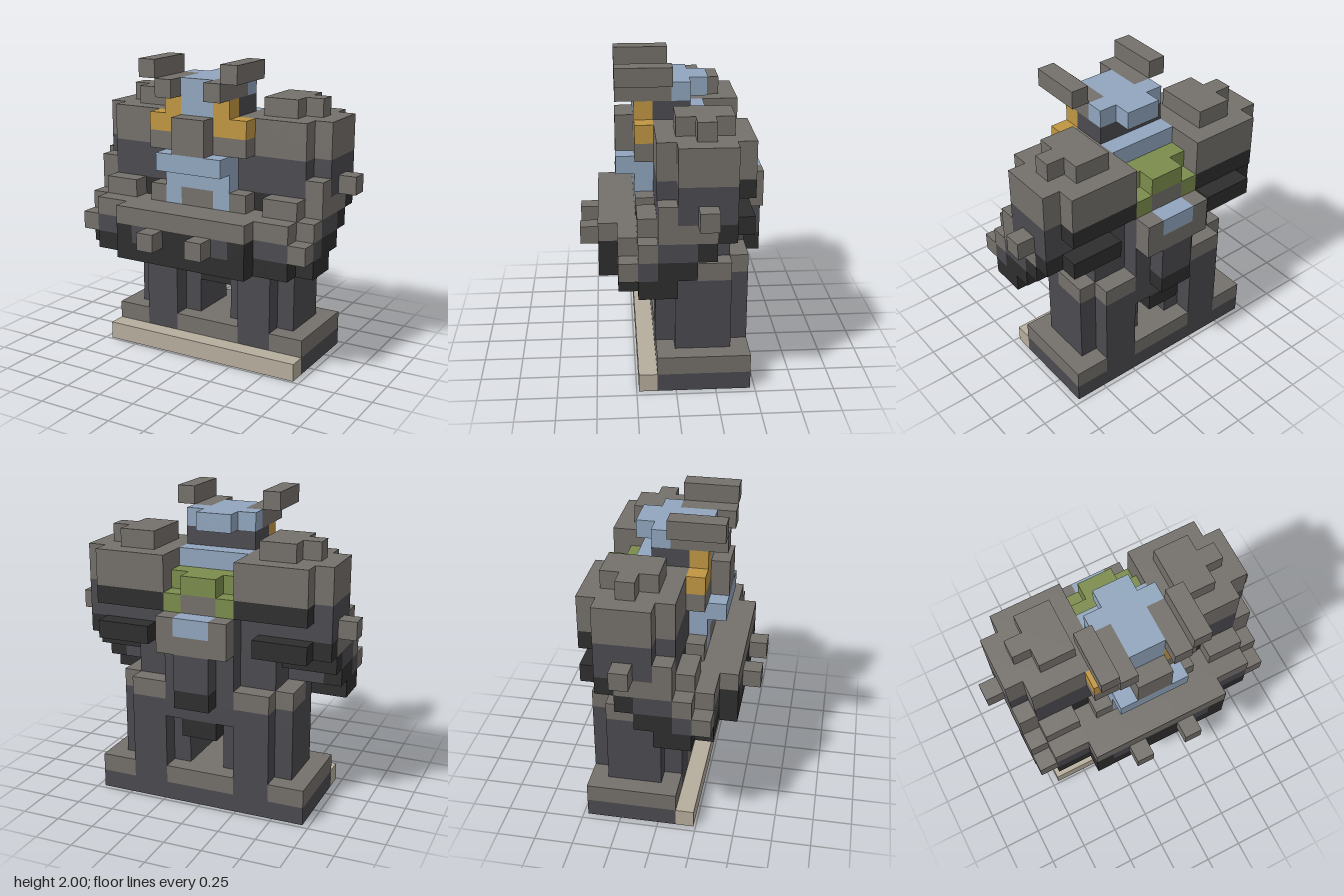
import * as THREE from 'three';

const U = 2 / 17; // edge of one block

const material = (name, color) => {
  const m = new THREE.MeshStandardMaterial({ color });
  m.name = name;
  return m;
};
const grey = material('stone grey', 0x74706b);
const dark = material('dark slate', 0x4b4a4f);
const black = material('charcoal', 0x2e2e2f);
const blue = material('pale blue', 0x91a6be);
const gold = material('gold', 0xc09642);
const green = material('moss green', 0x7c8c4d);
const cream = material('cream', 0xb6ad9c);

// Each part: blocks [material, x0, x1, y0, y1, z0, z1], mirrored in x; later blocks overwrite earlier ones
const parts = {
  body: [
    [dark, 0, 4, 7, 11, -3, 1],
    [dark, 0, 2, 6, 12, -4, 1],
    [dark, 0, 2, 11, 15, -1, 1],
    [blue, 0, 2, 12, 14, -2, -1],
  ],
  base: [
    [dark, 0, 6, 0, 1, -4, 1],
    [grey, 0, 6, 1, 2, -4, 1],
    [cream, 0, 6, 0, 1, 1, 2],
  ],
  legs: [
    [dark, 1, 5, 2, 7, -3, 0],
    [dark, 2, 4, 1, 7, -4, 1],
    [grey, 1, 5, 6, 7, -3, -1],
    [grey, 2, 4, 6, 7, -4, -1],
  ],
  crotch: [
    [black, 0, 1, 4, 5, -4, 0],
    [dark, 0, 2, 5, 6, -4, 0],
    [black, 1, 2, 5, 6, 0, 1],
  ],
  skirt: [
    [black, 0, 4, 6, 7, 0, 4],
    [black, 0, 6, 6, 7, 0, 3],
    [black, 6, 7, 6, 7, 0, 2],
    [dark, 0, 6, 7, 8, -1, 3],
    [dark, 0, 3, 7, 8, 3, 4],
    [black, 0, 1, 7, 8, 3, 4],
    [black, 3, 4, 7, 8, 3, 4],
    [black, 6, 7, 7, 8, -1, 1],
    [dark, 6, 7, 7, 8, 1, 2],
    [grey, 0, 6, 8, 9, 1, 3],
    [dark, 0, 6, 8, 9, -1, 1],
    [black, 4, 6, 8, 9, -2, -1],
    [grey, 0, 4, 8, 9, 3, 4],
    [grey, 6, 7, 8, 9, 1, 2],
    [dark, 6, 7, 8, 9, -1, 1],
    [black, 6, 7, 8, 9, -2, -1],
  ],
  studs: [
    [grey, 1, 2, 7, 8, 4, 5],
    [grey, 6, 7, 7, 8, 2, 3],
    [grey, 4, 6, 9, 10, 1, 2],
    [grey, 2, 3, 9, 10, 1, 2],
    [grey, 7, 8, 10, 11, -2, -1],
  ],
  arms: [
    [dark, 2, 6, 9, 10, -2, 1],
    [black, 3, 4, 9, 10, 0, 1],
    [black, 3, 6, 9, 10, -4, -2],
    [grey, 6, 7, 9, 10, -2, 1],
    [black, 6, 7, 9, 10, -3, -2],
    [dark, 2, 6, 10, 12, -3, 1],
    [dark, 6, 7, 10, 12, -3, 0],
    [grey, 6, 7, 10, 11, 0, 1],
    [black, 2, 6, 11, 12, -4, -3],
  ],
  shoulders: [
    [grey, 2, 6, 12, 14, -4, 1],
    [grey, 6, 7, 12, 14, -3, 0],
    [grey, 0, 3, 12, 13, 1, 2],
    [grey, 3, 5, 14, 15, -3, 0],
    [grey, 5, 6, 14, 15, -2, -1],
  ],
  collar: [
    [green, 0, 2, 12, 13, -3, -2],
    [green, 0, 1, 12, 13, -4, -3],
    [green, 1, 2, 11, 12, -4, -3],
    [grey, 0, 1, 11, 12, -4, -3],
  ],
  backpack: [
    [grey, 0, 2, 9, 11, -5, -4],
    [blue, 0, 1, 10, 11, -5, -4],
    [dark, 0, 1, 7, 9, -5, -4],
    [black, 0, 1, 6, 7, -5, -4],
  ],
  head: [
    [blue, 0, 1, 15, 16, -2, 2],
    [blue, 1, 2, 15, 16, -1, 0],
    [blue, 0, 1, 14, 15, 1, 2],
  ],
  brow: [
    [gold, 1, 3, 13, 14, 1, 2],
    [gold, 1, 2, 14, 15, 1, 2],
  ],
  nose: [[grey, 0, 1, 12, 14, 1, 3]],
  beard: [
    [blue, 0, 2, 11, 12, 1, 3],
    [blue, 0, 2, 10, 11, 1, 2],
    [blue, 1, 2, 9, 10, 1, 2],
    [grey, 0, 1, 9, 10, 1, 2],
  ],
  horns: [
    [grey, 1, 2, 15, 16, 0, 3],
    [grey, 2, 3, 16, 17, 0, 3],
  ],
};

// Six face directions; each has two edge vectors with u x v = n
const axis = [[1, 0, 0], [0, 1, 0], [0, 0, 1]];
const faces = [];
for (let a = 0; a < 3; a++) {
  const u = axis[(a + 1) % 3], v = axis[(a + 2) % 3];
  faces.push({ n: axis[a], u, v }, { n: axis[a].map((c) => -c), u: v, v: u });
}

export function createModel() {
  const key = (x, y, z) => `${x},${y},${z}`;
  const cells = new Map();

  // Fill the grid on both sides
  for (const [part, blocks] of Object.entries(parts)) {
    for (const [mat, x0, x1, y0, y1, z0, z1] of blocks)
      for (let x = x0; x < x1; x++)
        for (let y = y0; y < y1; y++)
          for (let z = z0; z < z1; z++)
            for (const sx of [x, -1 - x]) cells.set(key(sx, y, z), { part, mat, p: [sx, y, z] });
  }

  // Collect the exposed faces by part and colour
  const buckets = new Map();
  for (const { part, mat, p } of cells.values()) {
    const id = `${part} ${mat.name}`;
    if (!buckets.has(id)) buckets.set(id, { part, mat, pos: [], nor: [], idx: [] });
    const b = buckets.get(id);
    for (const { n, u, v } of faces) {
      if (cells.has(key(p[0] + n[0], p[1] + n[1], p[2] + n[2]))) continue;
      const start = b.pos.length / 3;
      for (const [s, t] of [[0, 0], [1, 0], [1, 1], [0, 1]]) {
        for (let i = 0; i < 3; i++) b.pos.push((p[i] + Math.max(n[i], 0) + u[i] * s + v[i] * t) * U);
        b.nor.push(...n);
      }
      b.idx.push(start, start + 1, start + 2, start, start + 2, start + 3);
    }
  }

  // One group per part, one mesh per colour
  const model = new THREE.Group();
  model.name = 'blockFigure';
  for (const part of Object.keys(parts)) {
    const group = new THREE.Group();
    group.name = part;
    for (const b of buckets.values()) {
      if (b.part !== part || !b.idx.length) continue;
      const geometry = new THREE.BufferGeometry();
      geometry.setAttribute('position', new THREE.Float32BufferAttribute(b.pos, 3));
      geometry.setAttribute('normal', new THREE.Float32BufferAttribute(b.nor, 3));
      geometry.setIndex(b.idx);
      const mesh = new THREE.Mesh(geometry, b.mat);
      mesh.name = `${part} ${b.mat.name}`;
      group.add(mesh);
    }
    model.add(group);
  }
  return model;
}
